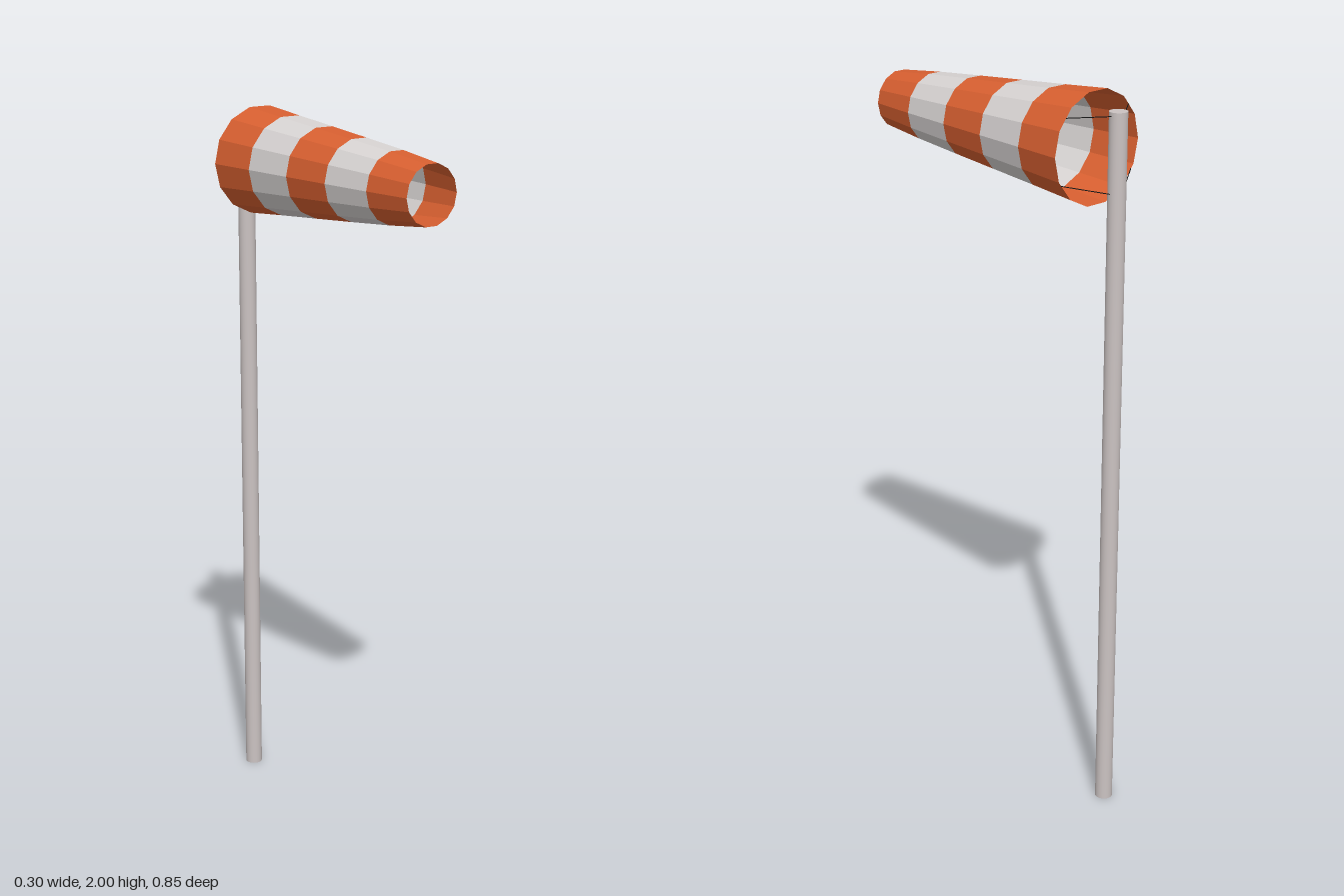
import * as THREE from 'three';

export function createModel() {
  const model = new THREE.Group();
  const mat = (name, color, side = THREE.FrontSide) =>
    new THREE.MeshStandardMaterial({ name, color, side, flatShading: side === THREE.DoubleSide });
  const orange = mat('orange fabric', 0xd75f30, THREE.DoubleSide);
  const white = mat('white fabric', 0xd6d2d1, THREE.DoubleSide);
  const metal = mat('pole grey', 0xcbc3c2);
  const black = mat('rope black', 0x161616);

  const add = (name, geometry, material) => {
    const mesh = new THREE.Mesh(geometry, material);
    mesh.name = name;
    model.add(mesh);
    return mesh;
  };

  // Pole
  add('pole', new THREE.CylinderGeometry(0.024, 0.024, 1.96, 20), metal).position.set(0, 0.98, -0.4);

  // Open tapering sock: [z, radius] at each stripe edge, wide mouth first
  const sides = 14, sockY = 1.855;
  const rings = [[-0.33, 0.149], [-0.186, 0.136], [-0.031, 0.123], [0.122, 0.11], [0.279, 0.096], [0.422, 0.08]];
  for (let i = 0; i < rings.length - 1; i++) {
    const [z0, r0] = rings[i], [z1, r1] = rings[i + 1];
    const geometry = new THREE.CylinderGeometry(r1, r0, z1 - z0, sides, 1, true, Math.PI / sides);
    geometry.rotateX(Math.PI / 2);
    add('sockStripe' + (i + 1), geometry, i % 2 ? white : orange)
      .position.set(0, sockY, (z0 + z1) / 2);
  }

  // Four thin ropes from the pole to the mouth
  for (const s of [-1, 1]) {
    for (const [name, poleY, x, y] of [['upperRope', 1.95, 0.111, 1.948], ['lowerRope', 1.752, 0.126, 1.78]]) {
      const path = new THREE.LineCurve3(
        new THREE.Vector3(s * 0.015, poleY, -0.405), new THREE.Vector3(s * x, y, -0.329));
      add(name + (s > 0 ? 'Left' : 'Right'), new THREE.TubeGeometry(path, 1, 0.0012, 6), black);
    }
  }
  return model;
}
